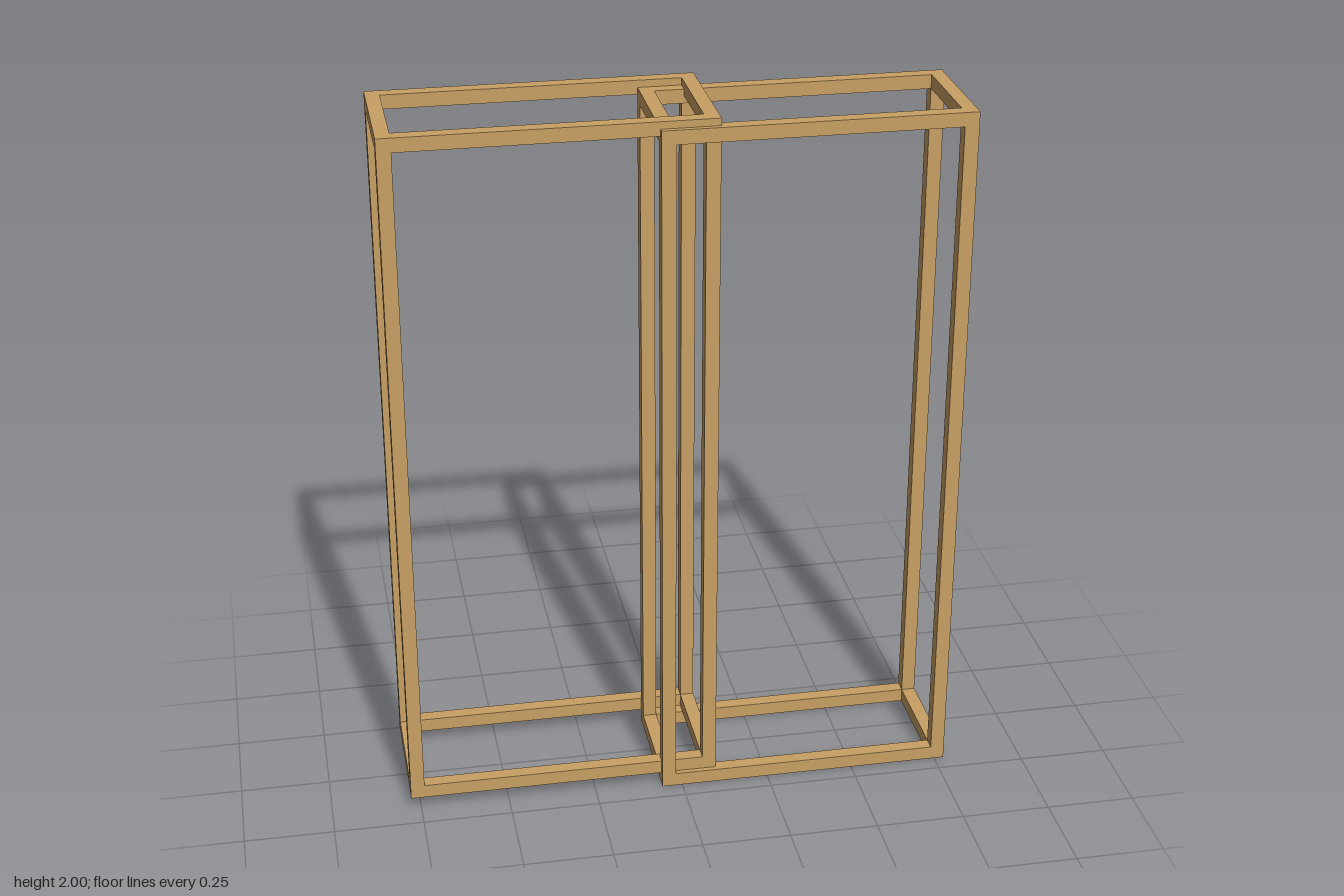
import * as THREE from 'three';

const BAR = 0.039; // square timber thickness

// Open box frame: four full-height posts joined by rails at top and bottom
function makeFrame(name, min, max, material) {
  const frame = new THREE.Group();
  frame.name = name;
  const size = max.map((v, i) => v - min[i]);
  const mid = max.map((v, i) => (v + min[i]) / 2);
  const edge = (axis, s) => (s < 0 ? min[axis] + BAR / 2 : max[axis] - BAR / 2);

  const addBar = (part, dims, pos) => {
    const bar = new THREE.Mesh(new THREE.BoxGeometry(...dims), material);
    bar.name = part;
    bar.position.set(...pos);
    frame.add(bar);
  };

  for (const a of [-1, 1]) {
    for (const b of [-1, 1]) {
      addBar('post', [BAR, size[1], BAR], [edge(0, a), mid[1], edge(2, b)]);
      addBar('longRail', [size[0] - 2 * BAR, BAR, BAR], [mid[0], edge(1, a), edge(2, b)]);
      addBar('shortRail', [BAR, BAR, size[2] - 2 * BAR], [edge(0, a), edge(1, b), mid[2]]);
    }
  }
  return frame;
}

export function createModel() {
  const wood = new THREE.MeshStandardMaterial({ color: 0xc8a064 });
  wood.name = 'tan wood';

  const model = new THREE.Group();
  model.name = 'overlappingFrames';
  // Two frames, slightly offset so that they interlock in the middle
  model.add(
    makeFrame('rightFrame', [-0.778, 0.038, -0.198], [0.1, 2, 0.183], wood),
    makeFrame('leftFrame', [-0.058, 0, -0.162], [0.778, 1.98, 0.198], wood)
  );
  return model;
}
